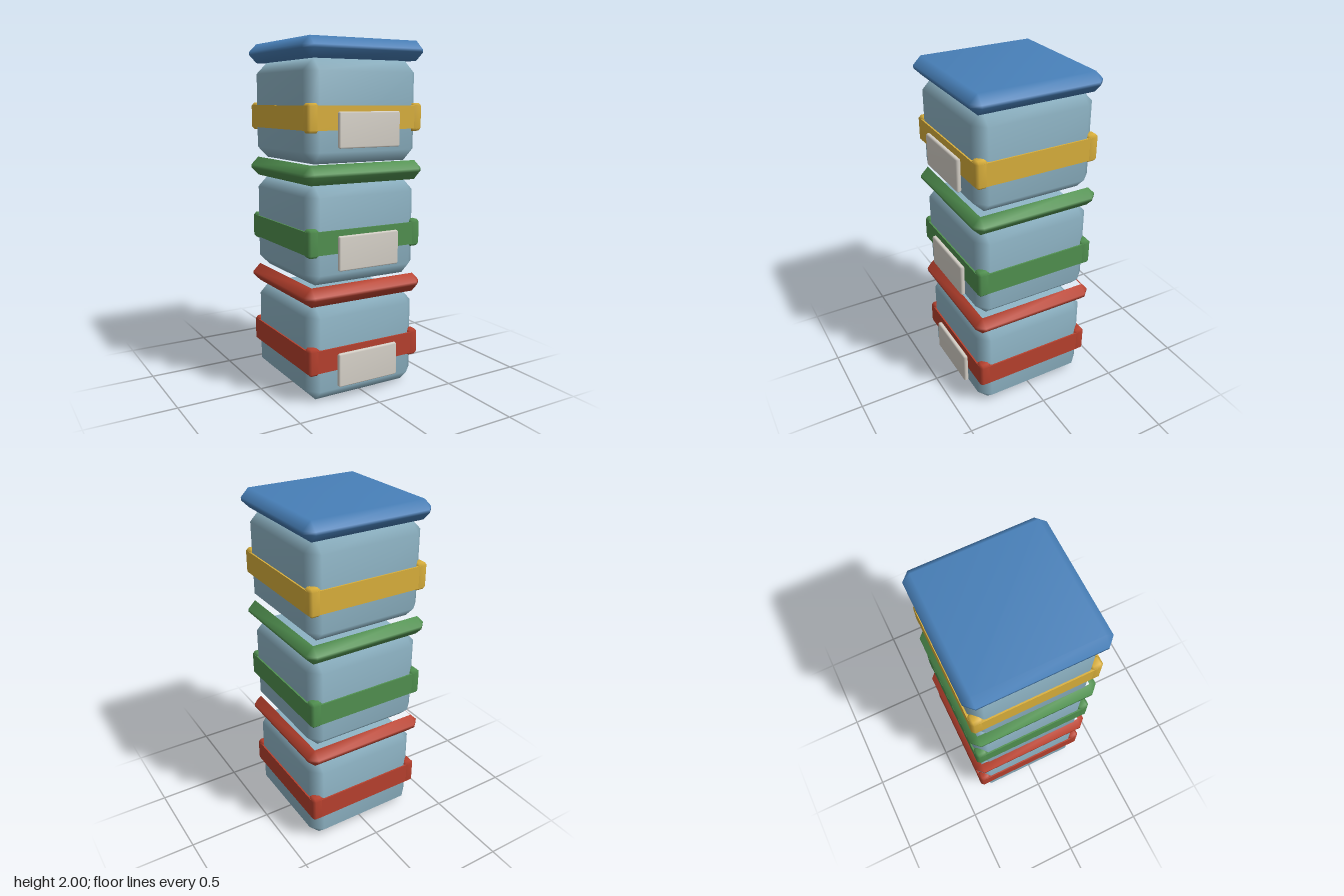
import * as THREE from 'three';
import { mergeVertices } from 'three/addons/utils/BufferGeometryUtils.js';

const mat = (name, color) => {
  const m = new THREE.MeshStandardMaterial({ color });
  m.name = name;
  return m;
};

// Box with a one-step bevel on every edge and smooth normals; capped = false leaves top and bottom open
function bevelBox(w, h, d, c, capped = true) {
  const pos = [], idx = [];
  const levels = [[-h / 2, c], [-h / 2 + c, 0], [h / 2 - c, 0], [h / 2, c]];
  for (const [y, inset] of levels) {
    const X = w / 2 - inset, Z = d / 2 - inset, k = c - inset;
    const loop = [[X, Z - k], [X, -Z + k], [X - k, -Z], [-X + k, -Z],
      [-X, -Z + k], [-X, Z - k], [-X + k, Z], [X - k, Z]];
    loop.forEach(([x, z]) => pos.push(x, y, z));
  }
  for (let l = 0; l < 3; l++) {
    for (let i = 0; i < 8; i++) {
      const a = l * 8 + i, b = l * 8 + (i + 1) % 8;
      if (l === 0 && i % 2) idx.push(a, b + 8, a + 8);          // lower corner triangle
      else if (l === 2 && i % 2) idx.push(a, b, a + 8);         // upper corner triangle
      else idx.push(a, b, b + 8, a, b + 8, a + 8);
    }
  }
  if (capped) {
    idx.push(0, 4, 2, 0, 6, 4);
    idx.push(24, 26, 28, 24, 28, 30);
  }
  const g = new THREE.BufferGeometry();
  g.setAttribute('position', new THREE.Float32BufferAttribute(pos, 3));
  g.setIndex(idx);
  const merged = mergeVertices(g, 1e-5);
  merged.computeVertexNormals();
  return merged;
}

export function createModel() {
  const model = new THREE.Group();
  model.name = 'stackedContainers';

  const glass = mat('pale blue', 0x8fb5c6);
  const paper = mat('off white', 0xd8d3ca);
  const red = mat('red', 0xb8412e);
  const green = mat('green', 0x519150);
  const yellow = mat('yellow', 0xdab03c);
  const blue = mat('blue', 0x4880b9);

  const add = (parent, name, geo, material, x, y, z) => {
    const m = new THREE.Mesh(geo, material);
    m.name = name;
    m.position.set(x, y, z);
    parent.add(m);
  };

  const STEP = 2 / 3, BODY = 0.557, OUT = 0.368, T = 0.06;
  const bodyGeo = bevelBox(0.716, BODY, 0.716, 0.065);
  const openLid = bevelBox(0.768, STEP - BODY, 0.768, 0.046, false);
  const topLid = bevelBox(0.768, STEP - BODY, 0.768, 0.046);
  const stripX = new THREE.BoxGeometry(0.66, 0.13, T);
  const stripZ = new THREE.BoxGeometry(T, 0.13, 0.66);
  const postGeo = bevelBox(0.072, 0.157, 0.072, 0.016);
  const labelGeo = bevelBox(0.39, 0.194, 0.028, 0.008);

  const tiers = [[red, red], [green, green], [yellow, blue]];
  tiers.forEach(([bandMat, lidMat], i) => {
    const tier = new THREE.Group();
    tier.name = 'container';
    tier.position.set(0, i * STEP, -0.0075);
    model.add(tier);

    add(tier, 'body', bodyGeo, glass, 0, BODY / 2, 0);
    add(tier, 'lid', i === 2 ? topLid : openLid, lidMat, 0, (BODY + STEP) / 2, 0);

    // Band of four strips joined by corner blocks
    const band = new THREE.Group();
    band.name = 'band';
    band.position.y = 0.246;
    tier.add(band);
    for (const s of [-1, 1]) {
      add(band, 'bandStrip', stripX, bandMat, 0, 0, s * (OUT - T / 2 - 0.001));
      add(band, 'bandStrip', stripZ, bandMat, s * (OUT - T / 2 - 0.001), 0, 0);
      for (const t of [-1, 1]) {
        add(band, 'bandCorner', postGeo, bandMat, s * (OUT - 0.036), 0, t * (OUT - 0.036));
      }
    }

    add(tier, 'label', labelGeo, paper, 0, 0.183, 0.383);
  });

  return model;
}
